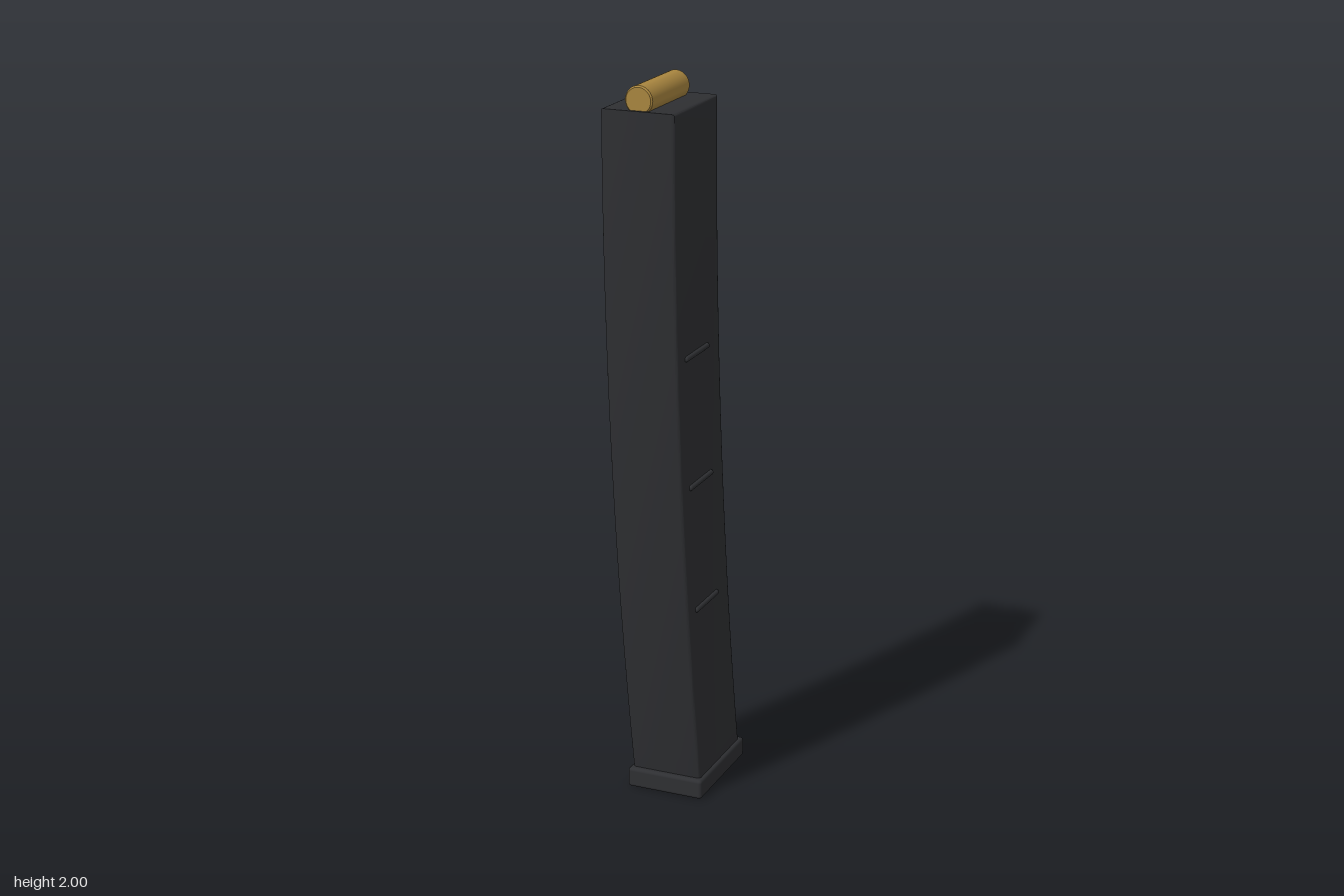
import * as THREE from 'three';
import { toCreasedNormals } from 'three/addons/utils/BufferGeometryUtils.js';
import { RoundedBoxGeometry } from 'three/addons/geometries/RoundedBoxGeometry.js';

const TOP = 1.937, BOTTOM = 0.04, WIDTH = 0.2, DEPTH = 0.28;

// z of the body's centre line: upright at the top, sweeping back towards the base
const centreZ = (y) => 0.097 - 0.177 * ((TOP - y) / 1.877) ** 2;

function createBody() {
  const steps = 24, bevel = 0.007;
  const front = [], back = [];
  for (let i = 0; i <= steps; i++) {
    const y = BOTTOM + (TOP - BOTTOM) * i / steps;
    front.push(new THREE.Vector2(centreZ(y) + DEPTH / 2, y));
    back.unshift(new THREE.Vector2(centreZ(y) - DEPTH / 2, y));
  }
  const geometry = new THREE.ExtrudeGeometry(new THREE.Shape([...front, ...back]), {
    depth: WIDTH - 2 * bevel,
    bevelEnabled: true, bevelThickness: bevel, bevelSize: bevel, bevelOffset: -bevel, bevelSegments: 3,
  });
  geometry.translate(0, 0, -WIDTH / 2 + bevel);
  geometry.rotateY(-Math.PI / 2);
  return toCreasedNormals(geometry, 0.6);
}

function createRound() {
  const r = 0.0375, half = 0.119, c = 0.004;
  const profile = [[0, -half], [r - c, -half], [r, -half + c], [r, half - c], [r - c, half], [0, half]]
    .map(([x, y]) => new THREE.Vector2(x, y));
  const geometry = new THREE.LatheGeometry(profile, 32);
  geometry.rotateX(Math.PI / 2);
  return toCreasedNormals(geometry, 0.5);
}

export function createModel() {
  const group = new THREE.Group();
  const dark = new THREE.MeshStandardMaterial({ color: 0x2e2f32 });
  const brass = new THREE.MeshStandardMaterial({ color: 0xa8853f });

  const add = (name, geometry, material, x, y, z) => {
    const mesh = new THREE.Mesh(geometry, material);
    mesh.name = name;
    mesh.position.set(x, y, z);
    group.add(mesh);
  };

  // Curved casing and floor plate
  add('body', createBody(), dark, 0, 0, 0);
  add('basePlate', new RoundedBoxGeometry(0.22, 0.056, 0.314, 3, 0.009), dark, 0, 0.028, -0.081);

  // Three thin grip ribs on each side
  const rib = new RoundedBoxGeometry(0.016, 0.015, 0.15, 3, 0.007);
  for (const side of [-1, 1]) {
    for (const y of [0.569, 0.929, 1.289]) {
      add(side > 0 ? 'leftRib' : 'rightRib', rib, dark, side * 0.1, y, centreZ(y) + 0.017);
    }
  }

  // Top round, half sunk into the mouth
  add('round', createRound(), brass, 0, 1.9625, 0.11);
  return group;
}
